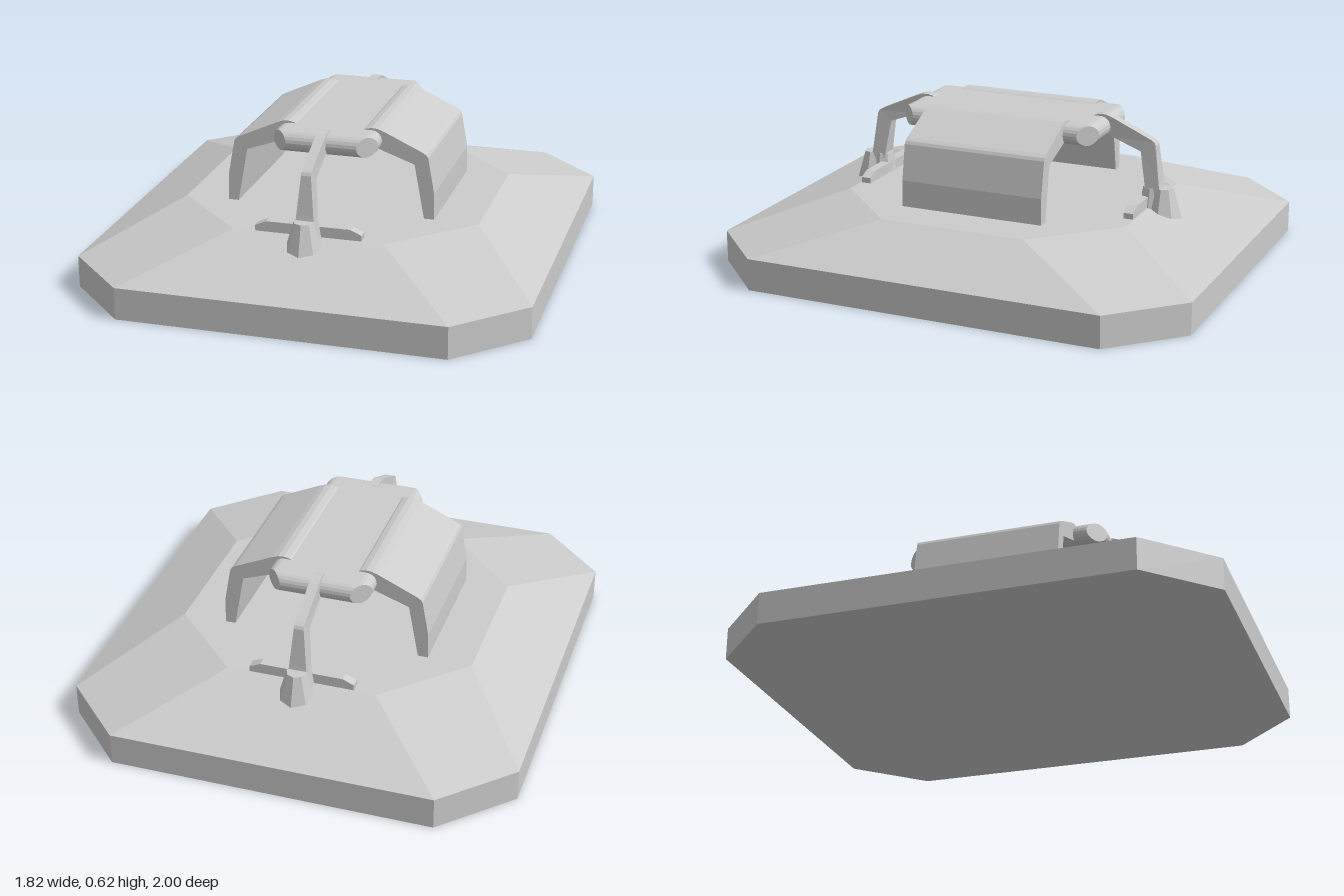
import * as THREE from 'three';

const material = new THREE.MeshStandardMaterial({ color: 0xcccccc, flatShading: true });

function addPart(parent, name, geometry) {
  const mesh = new THREE.Mesh(geometry, material);
  mesh.name = name;
  parent.add(mesh);
  return mesh;
}

// Stacks octagonal rings [halfX, halfZ, cornerCut, y] from bottom to top, capped at both ends
function octagonLoft(rings) {
  const points = [];
  const index = [];
  for (const [hx, hz, c, y] of rings) {
    const x = hx - c, z = hz - c;
    points.push(hx, y, z, hx, y, -z, x, y, -hz, -x, y, -hz, -hx, y, -z, -hx, y, z, -x, y, hz, x, y, hz);
  }
  for (let r = 0; r < rings.length - 1; r++) {
    for (let i = 0; i < 8; i++) {
      const a = r * 8 + i, b = r * 8 + (i + 1) % 8;
      index.push(a, b, b + 8, a, b + 8, a + 8);
    }
  }
  const top = (rings.length - 1) * 8;
  for (let i = 1; i < 7; i++) {
    index.push(0, i + 1, i);
    index.push(top, top + i, top + i + 1);
  }
  const geometry = new THREE.BufferGeometry();
  geometry.setAttribute('position', new THREE.Float32BufferAttribute(points, 3));
  geometry.setIndex(index);
  const flat = geometry.toNonIndexed();
  flat.computeVertexNormals();
  return flat;
}

// Extrudes an outline in x, y, centred on z = 0
function slab(outline, depth) {
  const shape = new THREE.Shape(outline.map(([x, y]) => new THREE.Vector2(x, y)));
  const geometry = new THREE.ExtrudeGeometry(shape, { depth, bevelEnabled: false });
  geometry.translate(0, 0, -depth / 2);
  return geometry;
}

export function createModel() {
  const model = new THREE.Group();
  model.name = 'hatch';

  // Chamfered plinth
  addPart(model, 'base', octagonLoft([
    [0.91, 1, 0.26, 0], [0.91, 1, 0.26, 0.13], [0.61, 0.61, 0.305, 0.262],
  ]));

  // Raised plate with a half-round rim and its corners cut off
  const rim = [];
  for (let i = 0; i <= 10; i++) {
    const t = (i / 10 - 0.5) * Math.PI;
    const hx = 0.172 + 0.042 * Math.cos(t), hz = 0.388 + 0.042 * Math.cos(t);
    rim.push([hx, hz, Math.max(0.0005, hx + hz - 0.574), 0.57 + 0.042 * Math.sin(t)]);
  }
  addPart(model, 'topPlate', octagonLoft(rim));

  for (const turn of [0, Math.PI]) {
    // Wide side cover hooked over the plate's rim
    const side = new THREE.Group();
    side.name = turn ? 'rightSide' : 'leftSide';
    side.rotation.y = turn;
    model.add(side);
    addPart(side, 'sideCover', slab([
      [0.39, 0.25], [0.43, 0.25], [0.428, 0.37], [0.402, 0.515], [0.395, 0.527], [0.38, 0.537],
      [0.22, 0.61], [0.195, 0.619], [0.17, 0.621], [0.147, 0.616], [0.125, 0.603],
      [0.15, 0.56], [0.22, 0.53], [0.347, 0.485],
    ], 0.605));

    const end = new THREE.Group();
    end.name = turn ? 'backEnd' : 'frontEnd';
    end.rotation.y = turn;
    model.add(end);

    // Narrow arm, widening towards its foot
    const arm = slab([
      [0.595, 0.3], [0.655, 0.3], [0.645, 0.36], [0.625, 0.515], [0.618, 0.527], [0.603, 0.537],
      [0.44, 0.61], [0.415, 0.619], [0.39, 0.621], [0.365, 0.616], [0.345, 0.603],
      [0.37, 0.56], [0.44, 0.53], [0.562, 0.485],
    ], 0.04);
    arm.rotateY(-Math.PI / 2);
    const p = arm.attributes.position;
    for (let i = 0; i < p.count; i++) {
      const widen = Math.max(0, 0.515 - p.getY(i)) / 0.175;
      p.setX(i, p.getX(i) * (1 + 0.8 * widen));
    }
    arm.computeVertexNormals();
    addPart(end, 'arm', arm);

    // Faceted sockets that hold the arm
    for (const [name, z, bottom] of [['outerSocket', 0.657, 0.08], ['innerSocket', 0.61, 0.065]]) {
      const socket = new THREE.CylinderGeometry(0.041, bottom, 0.13, 8);
      socket.translate(0, 0.275, z);
      addPart(end, name, socket);
    }

    // Low cross bar with clipped ends
    addPart(end, 'crossBar', slab([
      [-0.215, 0.25], [0.215, 0.25], [0.215, 0.285], [0.17, 0.305], [-0.17, 0.305], [-0.215, 0.285],
    ], 0.04)).position.z = 0.585;
  }

  return model;
}
